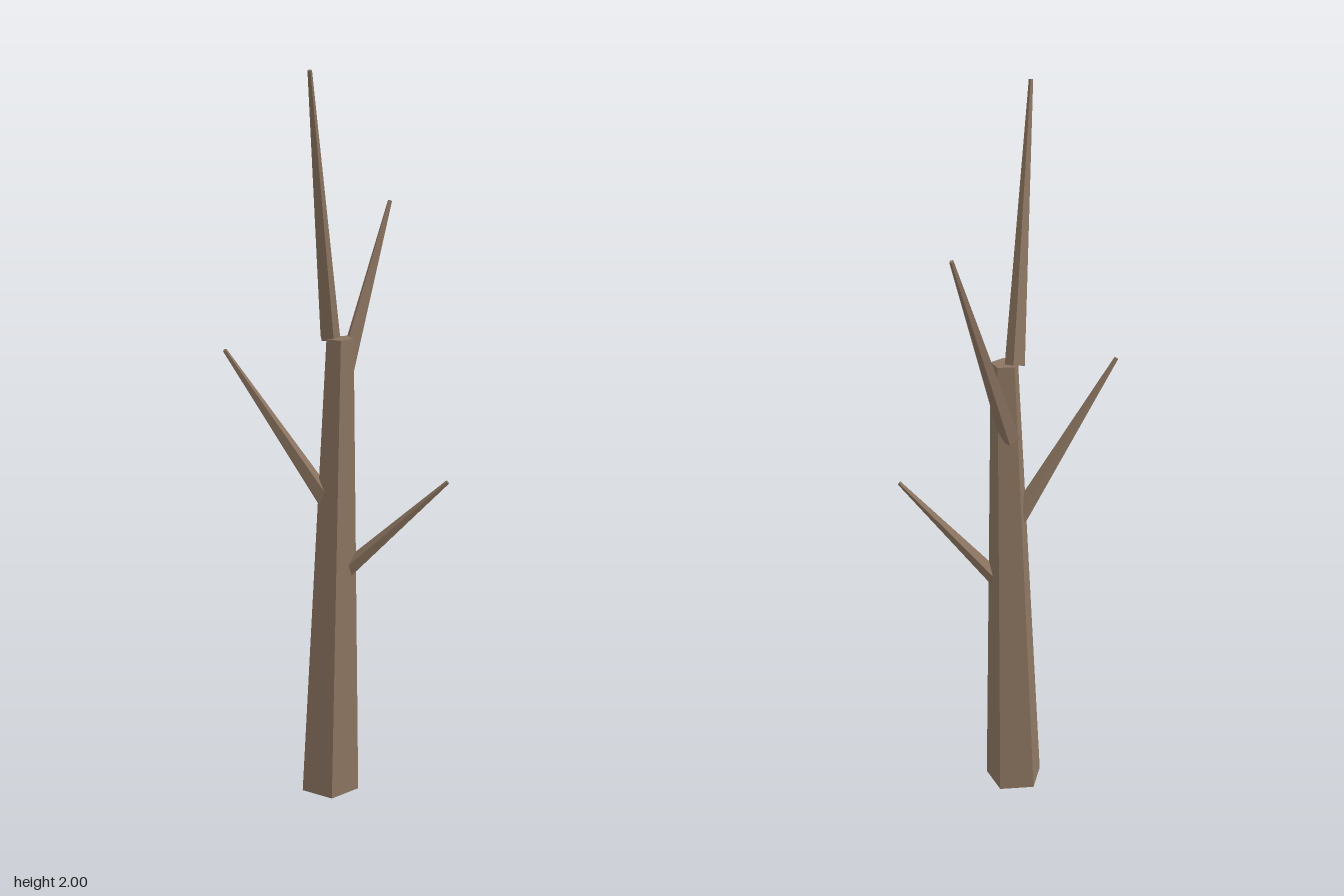
import * as THREE from 'three';

const SIDES = 5;

export function createModel() {
  const tree = new THREE.Group();
  tree.name = 'bareTree';
  const bark = new THREE.MeshStandardMaterial({ color: 0x8c7561 });
  bark.name = 'bark brown';
  bark.flatShading = true;

  const add = (name, geometry) => {
    const mesh = new THREE.Mesh(geometry, bark);
    mesh.name = name;
    tree.add(mesh);
  };

  // Trunk: tapered five-sided post, sheared so it leans slightly to +x
  const height = 1.3;
  const trunk = new THREE.CylinderGeometry(0.038, 0.083, height, SIDES);
  trunk.rotateY(Math.PI / 2);
  trunk.translate(0, height / 2, 0);
  const p = trunk.attributes.position;
  for (let i = 0; i < p.count; i++) {
    p.setX(i, p.getX(i) - 0.041 + 0.03 * (p.getY(i) / height));
  }
  trunk.translate(0, 0, 0.003);
  trunk.computeVertexNormals();
  add('trunk', trunk);

  // Branch: tapered spike from base to tip, with one ridge turned upward
  const branch = (name, base, tip, radius) => {
    const a = new THREE.Vector3(...base);
    const b = new THREE.Vector3(...tip);
    const axis = b.clone().sub(a);
    const length = axis.length();
    axis.normalize();
    const ridge = new THREE.Vector3(0, 1, 0).addScaledVector(axis, -axis.y).normalize();
    const side = axis.clone().cross(ridge);
    const geometry = new THREE.CylinderGeometry(0.006, radius, length, SIDES);
    geometry.translate(0, length / 2, 0);
    geometry.applyMatrix4(new THREE.Matrix4().makeBasis(side, axis, ridge).setPosition(a));
    add(name, geometry);
  };

  branch('topBranch', [-0.04, 1.3, -0.002], [-0.035, 1.998, 0.21], 0.028);
  branch('backBranch', [-0.03, 1.095, -0.016], [0.076, 1.641, -0.213], 0.028);
  branch('rightBranch', [-0.045, 0.848, 0.012], [-0.285, 1.283, 0.146], 0.027);
  branch('leftBranch', [0.012, 0.657, 0.002], [0.285, 0.923, 0.002], 0.024);

  return tree;
}
